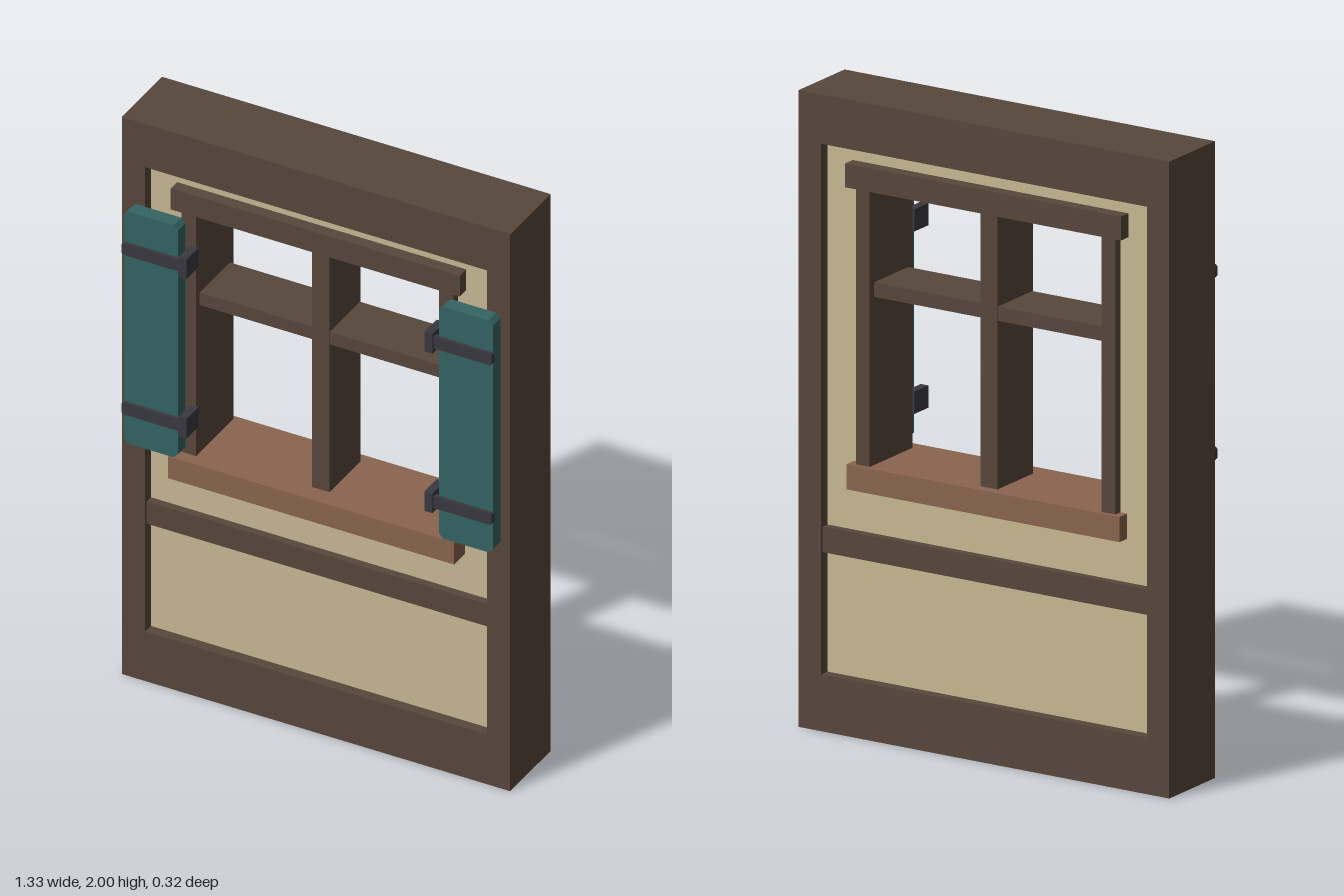
import * as THREE from 'three';

const mat = (name, color) => {
  const m = new THREE.MeshStandardMaterial({ color });
  m.name = name;
  return m;
};

export function createModel() {
  const wood = mat('dark wood', 0x58473c);
  const plaster = mat('plaster', 0xc8b994);
  const sillWood = mat('sill wood', 0x8a654e);
  const teal = mat('shutter teal', 0x356464);
  const iron = mat('iron', 0x3a3840);

  const group = new THREE.Group();
  group.name = 'windowWall';

  const add = (name, geometry, material) => {
    const mesh = new THREE.Mesh(geometry, material);
    mesh.name = name;
    group.add(mesh);
    return mesh;
  };

  // Box given by its limits on each axis
  const box = (name, material, [x0, x1], [y0, y1], [z0, z1]) => {
    const mesh = add(name, new THREE.BoxGeometry(x1 - x0, y1 - y0, z1 - z0), material);
    mesh.position.set((x0 + x1) / 2, (y0 + y1) / 2, (z0 + z1) / 2);
  };

  // Rectangle outline with optionally cut corners
  const rect = (PathType, x0, x1, y0, y1, c = 0) => {
    const pts = c
      ? [[x0 + c, y0], [x1 - c, y0], [x1, y0 + c], [x1, y1 - c],
         [x1 - c, y1], [x0 + c, y1], [x0, y1 - c], [x0, y0 + c]]
      : [[x0, y0], [x1, y0], [x1, y1], [x0, y1]];
    return new PathType(pts.map(p => new THREE.Vector2(...p)));
  };

  const slab = (name, material, shape, z0, z1) => {
    const geo = new THREE.ExtrudeGeometry(shape, { depth: z1 - z0, bevelEnabled: false });
    geo.translate(0, 0, z0);
    add(name, geo, material);
  };

  // Outer timber frame
  const frame = rect(THREE.Shape, -0.665, 0.665, 0, 2);
  frame.holes.push(rect(THREE.Path, -0.585, 0.585, 0.178, 1.845));
  slab('outerFrame', wood, frame, -0.156, 0.095);

  // Plaster infill with the window opening
  const wall = rect(THREE.Shape, -0.585, 0.585, 0.178, 1.845);
  wall.holes.push(rect(THREE.Path, -0.44, 0.44, 0.81, 1.76));
  slab('plasterWall', plaster, wall, -0.12, 0.06);

  // Rail below the window
  box('lowerRail', wood, [-0.585, 0.585], [0.56, 0.64], [-0.147, 0.086]);

  // Window surround and glazing bars
  box('lintel', wood, [-0.495, 0.495], [1.725, 1.8], [-0.1615, 0.1]);
  box('sill', sillWood, [-0.49, 0.49], [0.777, 0.856], [-0.1615, 0.127]);
  box('mullion', wood, [-0.03, 0.03], [0.85, 1.73], [-0.128, 0.066]);
  for (const s of [-1, 1]) {
    const span = (a, b) => (s > 0 ? [a, b] : [-b, -a]);
    const side = s > 0 ? 'left' : 'right';
    box(side + 'Jamb', wood, span(0.416, 0.466), [0.85, 1.73], [-0.147, 0.086]);
    box(side + 'GlazingBar', wood, span(0.03, 0.416), [1.385, 1.43], [-0.125, 0.063]);

    // Open shutter with cut corners
    slab(side + 'Shutter', teal,
      rect(THREE.Shape, ...span(0.447, 0.632), 0.87, 1.703, 0.015), 0.095, 0.143);

    // Hinge straps and the plates fixed to the jamb
    for (const [y, level] of [[0.999, 'Lower'], [1.572, 'Upper']]) {
      slab(side + level + 'HingeStrap', iron,
        rect(THREE.Shape, ...span(0.425, 0.634), y - 0.021, y + 0.021, 0.006), 0.137, 0.154);
      box(side + level + 'HingePlate', iron, span(0.408, 0.435),
        [y - 0.035, y + 0.035], [0.086, 0.1615]);
    }
  }
  return group;
}
